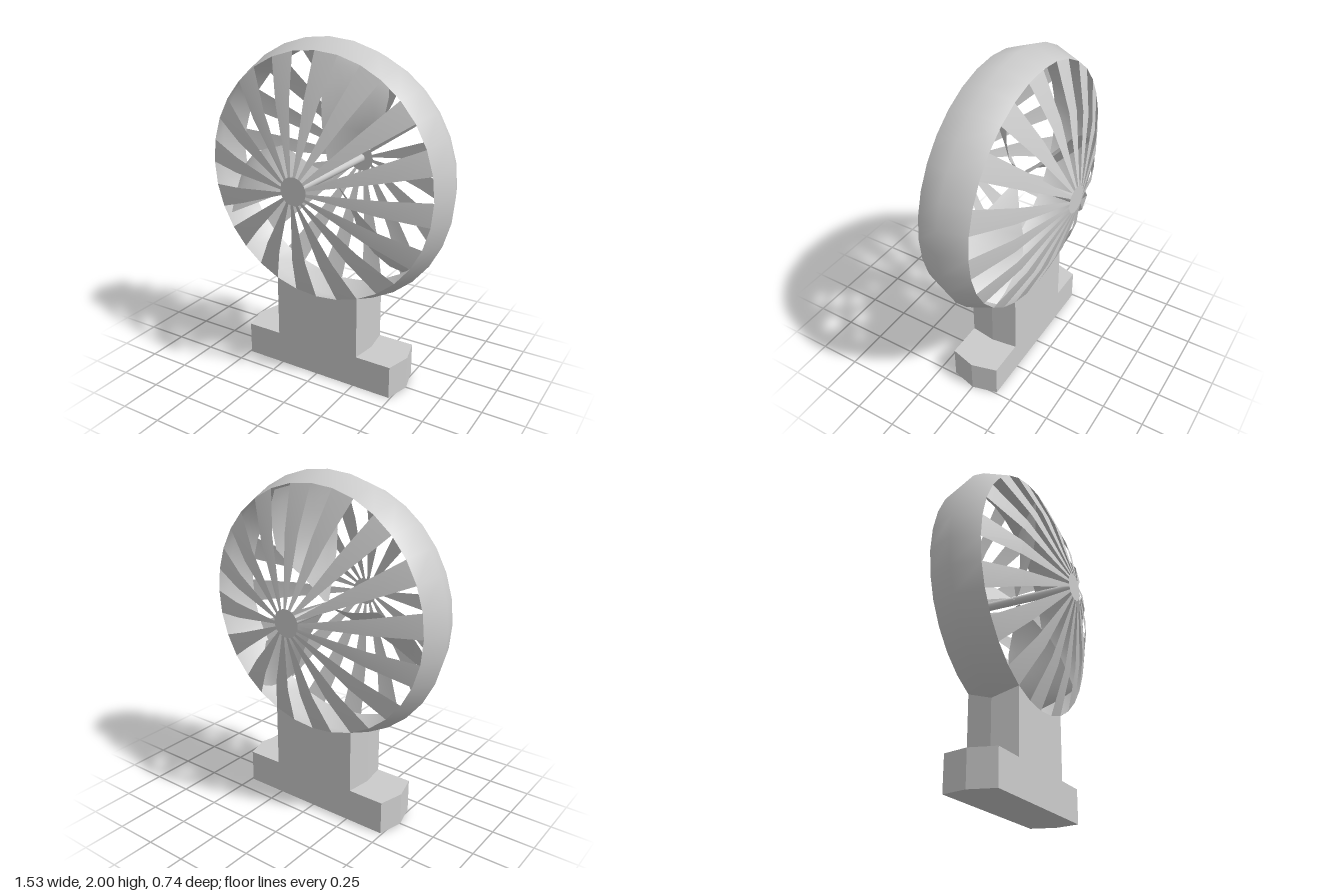
import * as THREE from 'three';

const CY = 1.235;            // height of the fan axis
const STEP = Math.PI / 16;   // one facet of the 32-sided cage
const RIM = 0.71, RMAX = 0.765, HALF = 0.15;

const mat = new THREE.MeshStandardMaterial({ color: 0xcccccc, side: THREE.DoubleSide });

function add(parent, name, geometry) {
  const mesh = new THREE.Mesh(geometry, mat);
  mesh.name = name;
  parent.add(mesh);
  return mesh;
}

// Lathe turned about the z axis from [radius, z] pairs
function latheZ(points, segments, start = 0, length = Math.PI * 2) {
  const pts = points.map(([r, z]) => new THREE.Vector2(r, z));
  return new THREE.LatheGeometry(pts, segments, start, length).rotateX(Math.PI / 2);
}

// Smooth surface through rows of equally many points
function loft(rows) {
  const n = rows[0].length, index = [];
  for (let i = 0; i < rows.length - 1; i++)
    for (let j = 0; j < n - 1; j++) {
      const a = i * n + j, b = a + n;
      index.push(a, a + 1, b, b, a + 1, b + 1);
    }
  const g = new THREE.BufferGeometry();
  g.setAttribute('position', new THREE.Float32BufferAttribute(rows.flat(2), 3));
  g.setIndex(index);
  g.computeVertexNormals();
  return g;
}

// Swept blade: straight leading edge, bulging trailing edge, pitched chord
function bladeGeometry() {
  const stations = [[0.03, 62], [0.18, 55], [0.3, 51], [0.415, 49], [0.54, 56], [0.64, 62], [0.7, 67]];
  const lead = 87, cols = 6;
  return loft(stations.map(([r, trail]) => {
    const pitch = 0.12 * Math.min(1, r / 0.35);
    return Array.from({ length: cols + 1 }, (_, j) => {
      const t = j / cols;
      const a = THREE.MathUtils.degToRad(lead + (trail - lead) * t);
      return [r * Math.cos(a), r * Math.sin(a), pitch * (1 - 2 * t)];
    });
  }));
}

// Stem: six-sided footprint whose top follows the underside of the cage
function stemGeometry() {
  const top = [];
  const point = (r, k, z) => top.push([r * Math.sin(k * STEP), CY - r * Math.cos(k * STEP), z]);
  for (let k = -2; k <= 2; k++) point(RIM, k, HALF);
  point(RMAX, 2, 0);
  for (let k = 2; k >= -2; k--) point(RIM, k, -HALF);
  point(RMAX, -2, 0);
  top.push(top[0]);
  const g = loft([top, top.map(([x, , z]) => [x, 0.2, z])]).toNonIndexed();
  g.computeVertexNormals();
  return g;
}

export function createModel() {
  const model = new THREE.Group();
  model.name = 'fan';

  // Foot with pointed ends
  const foot = new THREE.Shape(
    [[-0.49, -HALF], [0.49, -HALF], [0.53, 0], [0.49, HALF], [-0.49, HALF], [-0.53, 0]]
      .map(([x, y]) => new THREE.Vector2(x, y)));
  add(model, 'foot', new THREE.ExtrudeGeometry(foot, { depth: 0.2, bevelEnabled: false }).rotateX(-Math.PI / 2));
  add(model, 'stem', stemGeometry());

  const head = new THREE.Group();
  head.name = 'head';
  head.position.y = CY;
  model.add(head);

  // Closed outer band
  add(head, 'band', latheZ([[RIM, -HALF], [RMAX, 0], [RIM, HALF]], 32));

  // Front and back grilles: hub cap and 16 tapered spokes each
  for (const [side, s] of [['front', 1], ['back', -1]]) {
    const cap = add(head, side + 'Cap', new THREE.CircleGeometry(0.08, 32));
    cap.position.z = 0.37 * s;
    if (s < 0) cap.rotation.y = Math.PI;
    const profile = [[RIM, HALF * s], [0.46, 0.26 * s], [0.08, 0.37 * s]];
    if (s < 0) profile.reverse();
    for (let k = 0; k < 16; k++)
      add(head, side + 'Spoke', latheZ(profile, 1, (2 * k + 1) * STEP, STEP));
  }

  // Axle and three blades
  add(head, 'axle', new THREE.CylinderGeometry(0.025, 0.025, 0.74, 12).rotateX(Math.PI / 2));
  const blade = bladeGeometry();
  for (let i = 0; i < 3; i++) add(head, 'blade', blade).rotation.z = i * Math.PI * 2 / 3;

  return model;
}
